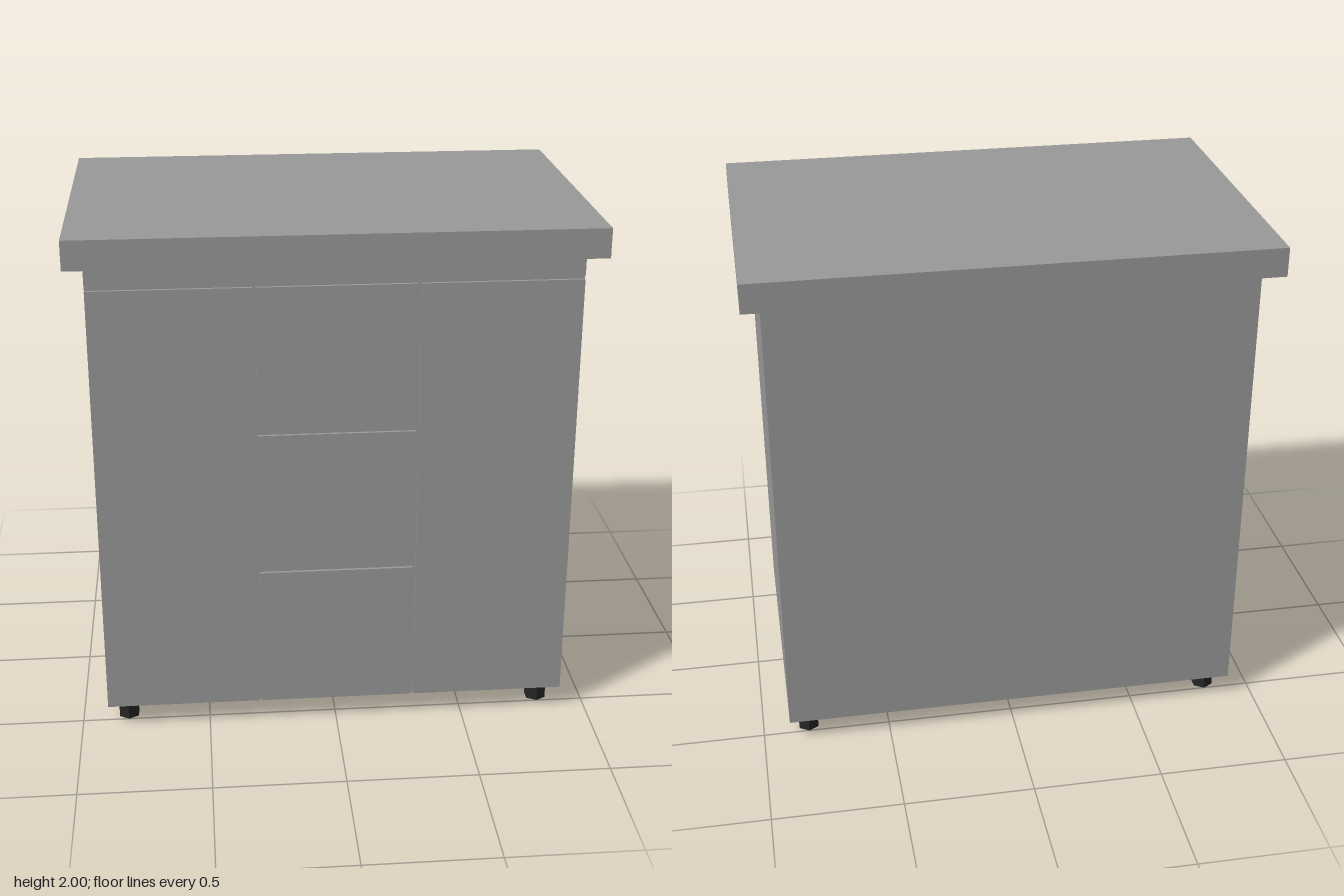
import * as THREE from 'three';

export function createModel() {
  const cabinet = new THREE.Group();
  cabinet.name = 'cabinet';
  const grey = new THREE.MeshStandardMaterial({ color: 0x999999 });
  grey.name = 'grey';
  const black = new THREE.MeshStandardMaterial({ color: 0x262626 });
  black.name = 'black';

  // box given by its limits on each axis
  function box(name, x0, x1, y0, y1, z0, z1) {
    const mesh = new THREE.Mesh(new THREE.BoxGeometry(x1 - x0, y1 - y0, z1 - z0), grey);
    mesh.name = name;
    mesh.position.set((x0 + x1) / 2, (y0 + y1) / 2, (z0 + z1) / 2);
    cabinet.add(mesh);
  }

  const W = 0.897, bottom = 0.095, rim = 1.89, back = -0.56, face = 0.548, front = 0.56;

  // worktop and carcass
  box('worktop', -0.966, 0.966, rim, 2, -0.63, 0.63);
  box('carcass', -W, W, bottom, rim, back, face);

  // front panels, with narrow gaps between them
  box('topRail', -W, W, 1.808, rim, face, front);
  box('rightDoor', -W, -0.305, bottom, 1.793, face, front);
  box('leftDoor', 0.305, W, bottom, 1.793, face, front);
  [[bottom, 0.656], [0.67, 1.222], [1.236, 1.793]].forEach(([y0, y1], i) =>
    box('drawerFront' + (i + 1), -0.293, 0.293, y0, y1, face, front));

  // six-sided feet
  const footGeometry = new THREE.CylinderGeometry(0.0435, 0.0435, bottom, 6).toNonIndexed();
  footGeometry.computeVertexNormals();
  for (const x of [-0.82, 0.82]) {
    for (const z of [-0.457, 0.457]) {
      const foot = new THREE.Mesh(footGeometry, black);
      foot.name = (z > 0 ? 'front' : 'back') + (x > 0 ? 'Left' : 'Right') + 'Foot';
      foot.position.set(x, bottom / 2, z);
      cabinet.add(foot);
    }
  }
  return cabinet;
}
